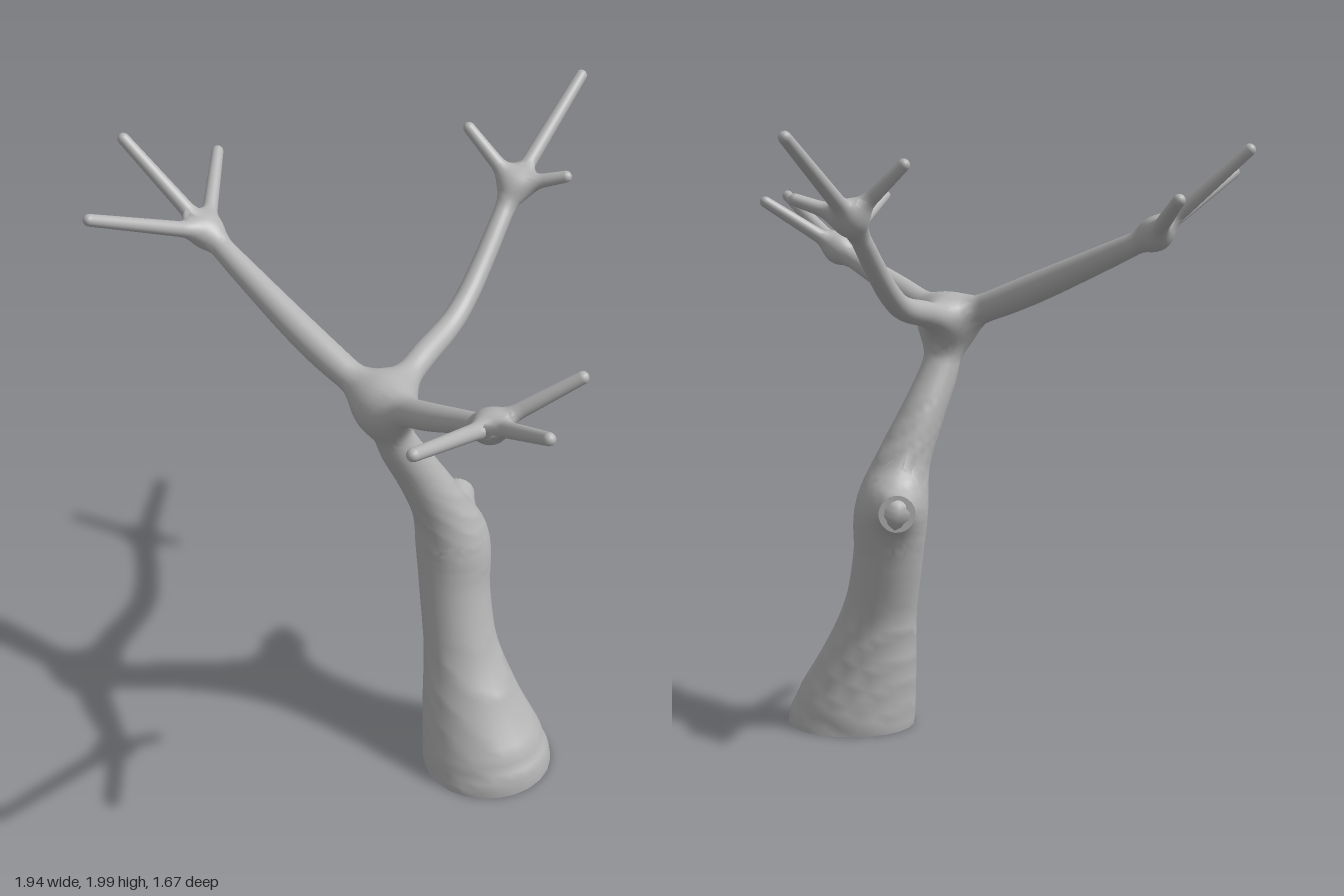
import * as THREE from 'three';

const V = (x, y, z) => new THREE.Vector3(x, y, z);
const SIDES = 24;

// A limb: points are [x, y, z, radius]; blend is the size of the fillet where it joins
function makeLimb(name, points, blend, opts = {}) {
  const curve = new THREE.CatmullRomCurve3(points.map(p => V(p[0], p[1], p[2])));
  const radii = new THREE.CatmullRomCurve3(points.map((p, i) => V(p[3], i * 0.1, 0)));
  const steps = points.length === 2 ? 1 : points.length * 5;
  const samples = [];
  for (let i = 0; i <= steps; i++) {
    samples.push({ p: curve.getPoint(i / steps), r: radii.getPoint(i / steps).x });
  }
  return { name, curve, radii, samples, blend, rings: Math.max(18, points.length * 7), ...opts };
}

// Distance from a point to one tapered limb
function limbDistance(limb, p) {
  let best = Infinity;
  for (let i = 0; i < limb.samples.length - 1; i++) {
    const a = limb.samples[i], b = limb.samples[i + 1];
    const dx = b.p.x - a.p.x, dy = b.p.y - a.p.y, dz = b.p.z - a.p.z;
    const px = p.x - a.p.x, py = p.y - a.p.y, pz = p.z - a.p.z;
    const t = Math.min(1, Math.max(0, (px * dx + py * dy + pz * dz) / (dx * dx + dy * dy + dz * dz)));
    const d = Math.hypot(px - dx * t, py - dy * t, pz - dz * t) - (a.r + (b.r - a.r) * t);
    if (d < best) best = d;
  }
  return best;
}

// Smooth union of all limbs, so that the joints are filleted
function field(limbs, p) {
  let d = Infinity;
  for (const limb of limbs) {
    const e = limbDistance(limb, p), k = limb.blend;
    const h = Math.max(0, k - Math.abs(d - e)) / k;
    d = Math.min(d, e) - h * h * k / 4;
  }
  return d;
}

// Skin of one limb: rings around its axis, pushed outward to the filleted surface
function limbGeometry(limb, limbs) {
  const rows = [];
  const round = [75, 50, 25].map(a => a * Math.PI / 180);
  if (!limb.openStart) rows.push([0, -Math.PI / 2], ...round.map(a => [0, -a]));
  for (let i = 0; i <= limb.rings; i++) rows.push([i / limb.rings, 0]);
  if (!limb.flatEnd) rows.push(...[...round].reverse().map(a => [1, a]), [1, Math.PI / 2]);

  const pos = [], nor = [], idx = [];
  const e = 0.002;
  for (const [t, tilt] of rows) {
    const c = limb.curve.getPoint(t), r = limb.radii.getPoint(t).x;
    const T = limb.level ? V(0, 1, 0) : limb.curve.getTangent(t);
    const N = limb.level ? V(0, 0, 1) : V(0, 1, 0).cross(T).normalize();
    const B = T.clone().cross(N);
    for (let j = 0; j <= SIDES; j++) {
      const a = j / SIDES * Math.PI * 2;
      const dir = N.clone().multiplyScalar(Math.cos(a)).addScaledVector(B, Math.sin(a))
        .multiplyScalar(Math.cos(tilt)).addScaledVector(T, Math.sin(tilt));
      const p = V(0, 0, 0);
      let s = 0;
      for (let n = 0; n < 24; n++) {
        p.copy(c).addScaledVector(dir, s);
        const d = field(limbs, p);
        if (Math.abs(d) < 0.0003) break;
        s = Math.min(s - d, r * 2.5 + 0.03);
      }
      p.copy(c).addScaledVector(dir, s);
      const slope = (x, y, z) => field(limbs, V(p.x + x, p.y + y, p.z + z)) - field(limbs, V(p.x - x, p.y - y, p.z - z));
      const n = V(slope(e, 0, 0), slope(0, e, 0), slope(0, 0, e)).normalize();
      pos.push(p.x, p.y, p.z);
      nor.push(n.x, n.y, n.z);
    }
  }
  const w = SIDES + 1;
  for (let i = 0; i < rows.length - 1; i++) {
    for (let j = 0; j < SIDES; j++) {
      const k = i * w + j;
      idx.push(k, k + 1, k + w, k + 1, k + w + 1, k + w);
    }
  }
  const g = new THREE.BufferGeometry();
  g.setAttribute('position', new THREE.Float32BufferAttribute(pos, 3));
  g.setAttribute('normal', new THREE.Float32BufferAttribute(nor, 3));
  g.setIndex(idx);
  return g;
}

export function createModel() {
  const group = new THREE.Group();
  group.name = 'bareTree';
  const bark = new THREE.MeshStandardMaterial({ color: 0xb4b4b4, side: THREE.DoubleSide });
  bark.name = 'greyBark';

  const crown = [0.07, 1.35, 0.31, 0.042];
  const limbs = [
    // Leaning trunk, open at the ground
    makeLimb('trunk', [
      [0.305, 0, 0.09, 0.213], [0.24, 0.2, 0.1, 0.162], [0.183, 0.4, 0.098, 0.122],
      [0.13, 0.6, 0.08, 0.115], [0.105, 0.75, 0.067, 0.12], [0.095, 0.9, 0.11, 0.09],
      [0.075, 1.05, 0.18, 0.073], [0.067, 1.2, 0.262, 0.062], [0.07, 1.35, 0.31, 0.05],
    ], 0.1, { openStart: true, level: true }),
    // Three main limbs from the crown
    makeLimb('rightLimb', [crown, [-0.2, 1.455, 0.355, 0.05], [-0.5, 1.582, 0.385, 0.041], [-0.69, 1.665, 0.4, 0.032]], 0.11),
    makeLimb('leftLimb', [crown, [0.3, 1.435, 0.34, 0.043], [0.5, 1.515, 0.35, 0.034], [0.61, 1.56, 0.36, 0.03]], 0.11),
    makeLimb('backLimb', [crown, [-0.01, 1.395, 0.1, 0.042], [-0.085, 1.45, -0.12, 0.036], [-0.21, 1.73, -0.46, 0.03]], 0.1),
    // Sawn-off stub on the back of the trunk
    makeLimb('stub', [[0.06, 0.77, 0.02, 0.062], [-0.07, 0.78, -0.1, 0.058]], 0.08, { flatEnd: true }),
  ];

  // Three twigs at the end of each limb
  const forks = {
    right: [[-0.69, 1.665, 0.4], [-0.95, 1.925, 0.515], [-0.93, 1.785, 0.18], [-0.695, 1.843, 0.815]],
    left: [[0.61, 1.56, 0.36], [0.778, 1.722, 0.17], [0.955, 1.727, 0.457], [0.775, 1.722, 0.775]],
    back: [[-0.21, 1.73, -0.46], [-0.297, 1.975, -0.82], [-0.37, 1.89, -0.405], [-0.07, 1.785, -0.55]],
  };
  for (const [side, [start, ...tips]] of Object.entries(forks)) {
    tips.forEach((tip, i) => limbs.push(
      makeLimb(`${side}Twig${i + 1}`, [[...start, 0.026], [...tip, 0.019]], 0.055)));
  }

  for (const limb of limbs) {
    const mesh = new THREE.Mesh(limbGeometry(limb, limbs), bark);
    mesh.name = limb.name;
    group.add(mesh);
  }

  // Flat face closing the stub
  const stub = limbs.find(l => l.name === 'stub');
  const cap = new THREE.Mesh(new THREE.CircleGeometry(0.059, SIDES), bark);
  cap.name = 'stubCutFace';
  cap.position.copy(stub.curve.getPoint(1));
  cap.quaternion.setFromUnitVectors(V(0, 0, 1), stub.curve.getTangent(1).normalize());
  group.add(cap);

  return group;
}
